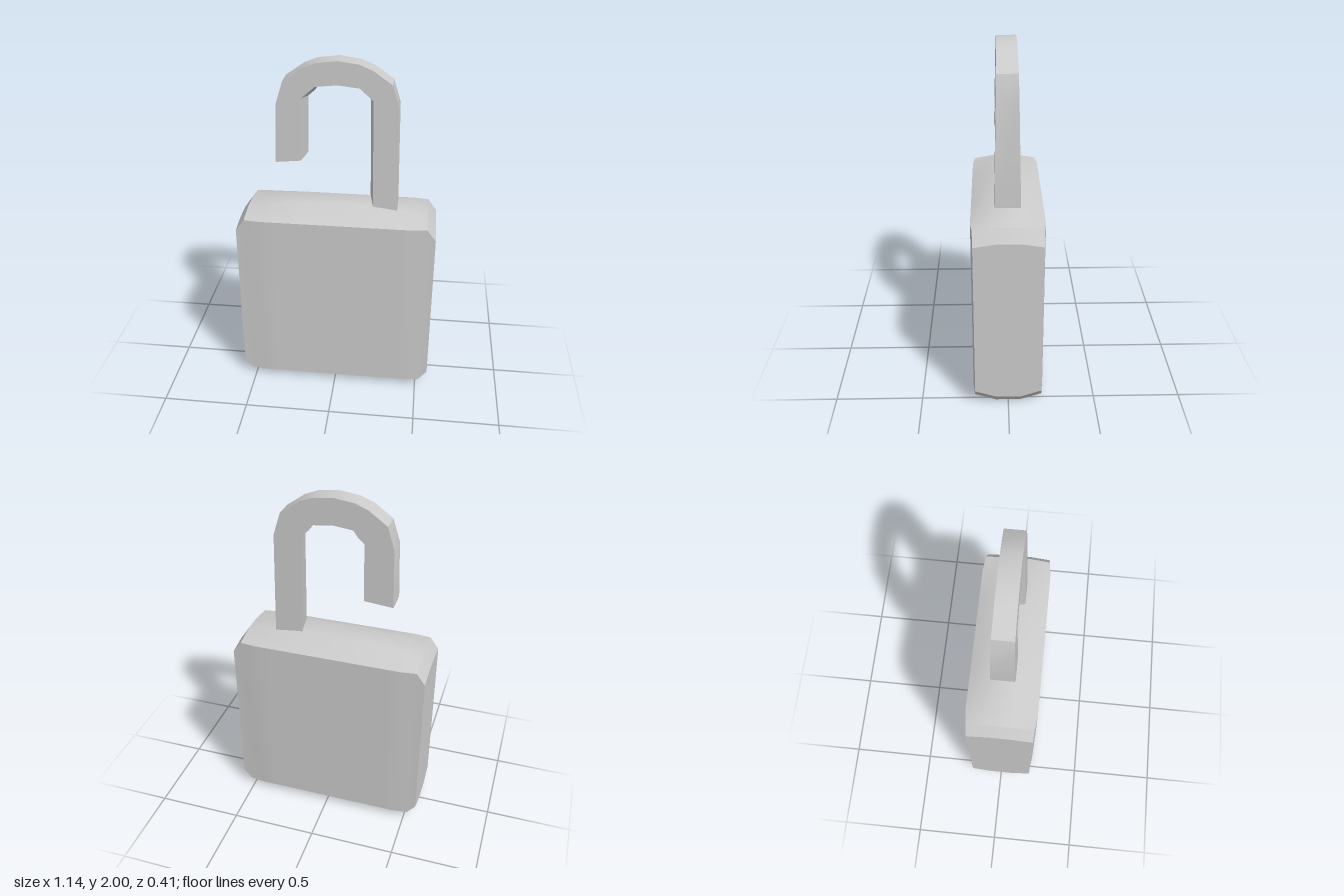
import * as THREE from 'three';
import { toCreasedNormals } from 'three/addons/utils/BufferGeometryUtils.js';

// Skin a row of equal-length rings and cap both ends.
function loft(rings) {
  const pos = [];
  const tri = (...pts) => pts.forEach((p) => pos.push(...p));
  const n = rings[0].length;
  for (let i = 0; i < rings.length - 1; i++) {
    for (let j = 0; j < n; j++) {
      const k = (j + 1) % n;
      const a = rings[i][j], b = rings[i][k], c = rings[i + 1][k], d = rings[i + 1][j];
      tri(a, b, c);
      tri(a, c, d);
    }
  }
  const first = rings[0], last = rings[rings.length - 1];
  for (let j = 1; j < n - 1; j++) {
    tri(first[0], first[j + 1], first[j]);
    tri(last[0], last[j], last[j + 1]);
  }
  const geo = new THREE.BufferGeometry();
  geo.setAttribute('position', new THREE.Float32BufferAttribute(pos, 3));
  return toCreasedNormals(geo, 0.6);
}

export function createModel() {
  const group = new THREE.Group();
  const material = new THREE.MeshStandardMaterial({ color: 0xcccccc });
  const add = (name, rings) => {
    const mesh = new THREE.Mesh(loft(rings), material);
    mesh.name = name;
    group.add(mesh);
  };

  // Body: eight-sided sections along x
  // [x, crown y, shoulder y, lower shoulder y, base y, half depth]
  const half = [
    [0.2, 1.17, 1.10, 0.04, 0, 0.203],
    [0.35, 1.152, 1.10, 0.04, 0, 0.203],
    [0.43, 1.14, 1.10, 0.04, 0, 0.203],
    [0.52, 1.122, 1.10, 0.04, 0, 0.192],
    [0.57, 1.05, 1.03, 0.10, 0.06, 0.19],
  ];
  const mirrored = half.map(([x, ...rest]) => [-x, ...rest]).reverse();
  add('body', [...mirrored, ...half].map(([x, top, shoulder, low, base, d]) => [
    [x, top, -0.07], [x, top, 0.07], [x, shoulder, d], [x, low, d],
    [x, base, 0.07], [x, base, -0.07], [x, low, -d], [x, shoulder, -d],
  ]));

  // Shackle: tapered bar with a slanted inner face
  // [outer x, outer y, inner x, inner y]
  const bend = [
    [0.115, 1.985, 0.12, 1.857],
    [0.19, 1.955, 0.158, 1.823],
    [0.295, 1.88, 0.195, 1.79],
    [0.335, 1.75, 0.197, 1.7],
  ];
  const path = [
    [-0.345, 1.415, -0.202, 1.43],
    ...bend.map(([ox, oy, ix, iy]) => [-ox, oy, -ix, iy]).reverse(),
    [0, 2, 0, 1.87],
    ...bend,
    [0.345, 1.1, 0.206, 1.1],
  ];
  const depth = (y) => 0.055 + (2 - y) * 0.021;
  add('shackle', path.map(([ox, oy, ix, iy]) => {
    const backX = ix - Math.sign(ix) * (Math.abs(ix) < 0.15 ? 0.01 : 0.023);
    const backY = iy > 1.75 ? iy - 0.022 : iy;
    return [
      [ox, oy, -depth(oy)], [ox, oy, depth(oy)],
      [ix, iy, depth(iy)], [backX, backY, -depth(iy)],
    ];
  }));

  return group;
}
